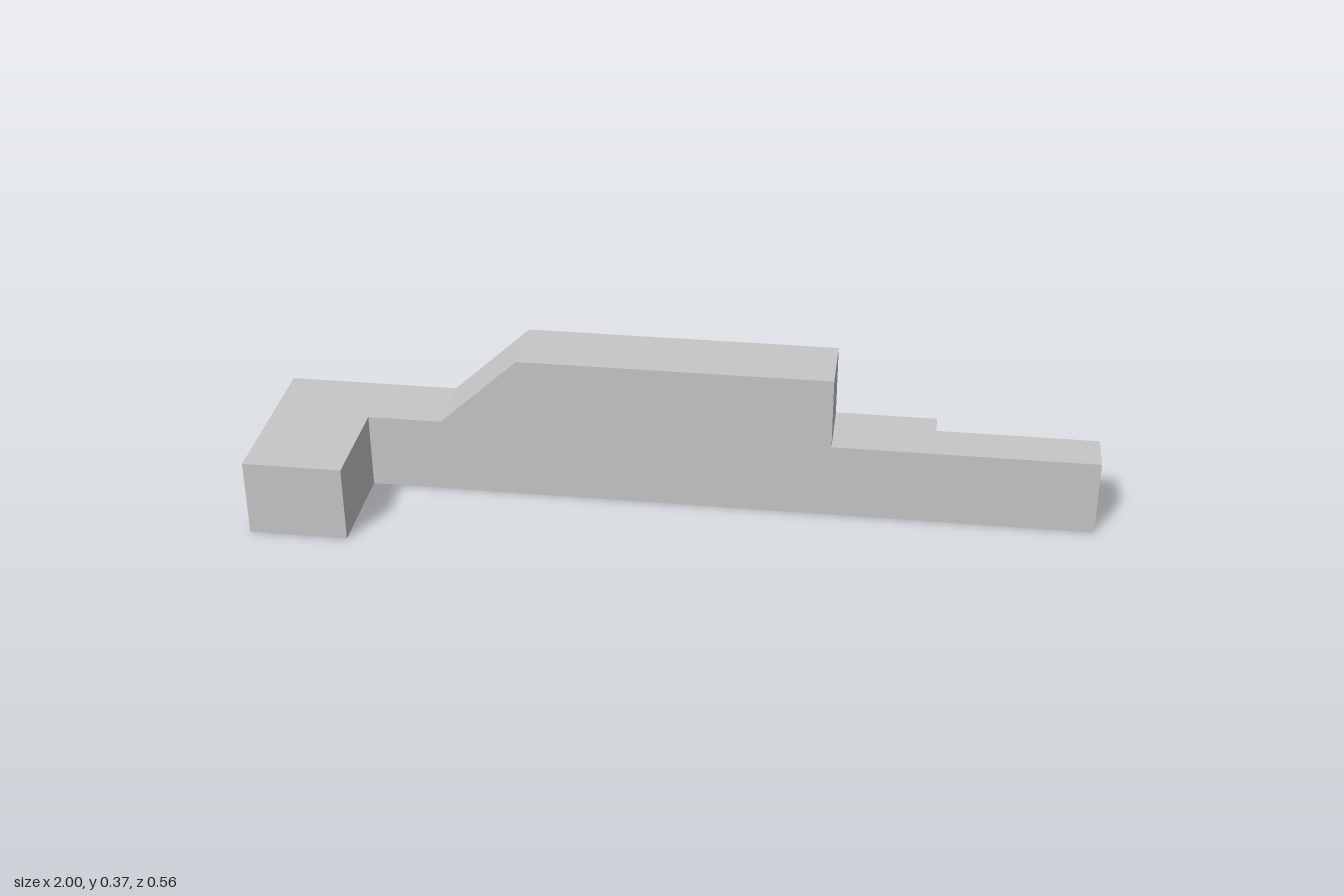
import * as THREE from 'three';

const gray = new THREE.MeshStandardMaterial({ color: 0xc7c7c7 });
gray.name = 'light gray';

const BACK = -0.144, FRONT = 0.025, LOW = 0.189, HIGH = 0.367;

// Straight extrusion of a polygon outline
function prism(points, depth) {
  const shape = new THREE.Shape(points.map(([x, y]) => new THREE.Vector2(x, y)));
  return new THREE.ExtrudeGeometry(shape, { depth, bevelEnabled: false });
}

export function createModel() {
  const model = new THREE.Group();
  model.name = 'steppedBlock';

  const add = (name, geometry) => {
    const mesh = new THREE.Mesh(geometry, gray);
    mesh.name = name;
    model.add(mesh);
  };

  // Low bar with the forward arm and narrowed end, drawn as a plan of x and z
  const plan = [
    [-1, 0.278], [-0.763, 0.278], [-0.763, FRONT], [1, FRONT],
    [1, -0.085], [0.612, -0.085], [0.612, BACK], [-1, BACK],
  ];
  add('base', prism(plan.map(([x, z]) => [x, -z]), LOW).rotateX(-Math.PI / 2));

  // Raised middle, sloped on one end
  const hump = [[-0.583, LOW], [0.366, LOW], [0.366, HIGH], [-0.39, HIGH]];
  add('raisedMiddle', prism(hump, FRONT - BACK).translate(0, 0, BACK));

  // Triangular rib leaning on the back
  const rib = [[-BACK, 0], [0.278, 0], [-BACK, HIGH]];
  add('backRib', prism(rib, 0.098).rotateY(Math.PI / 2).translate(-0.076, 0, 0));

  return model;
}
